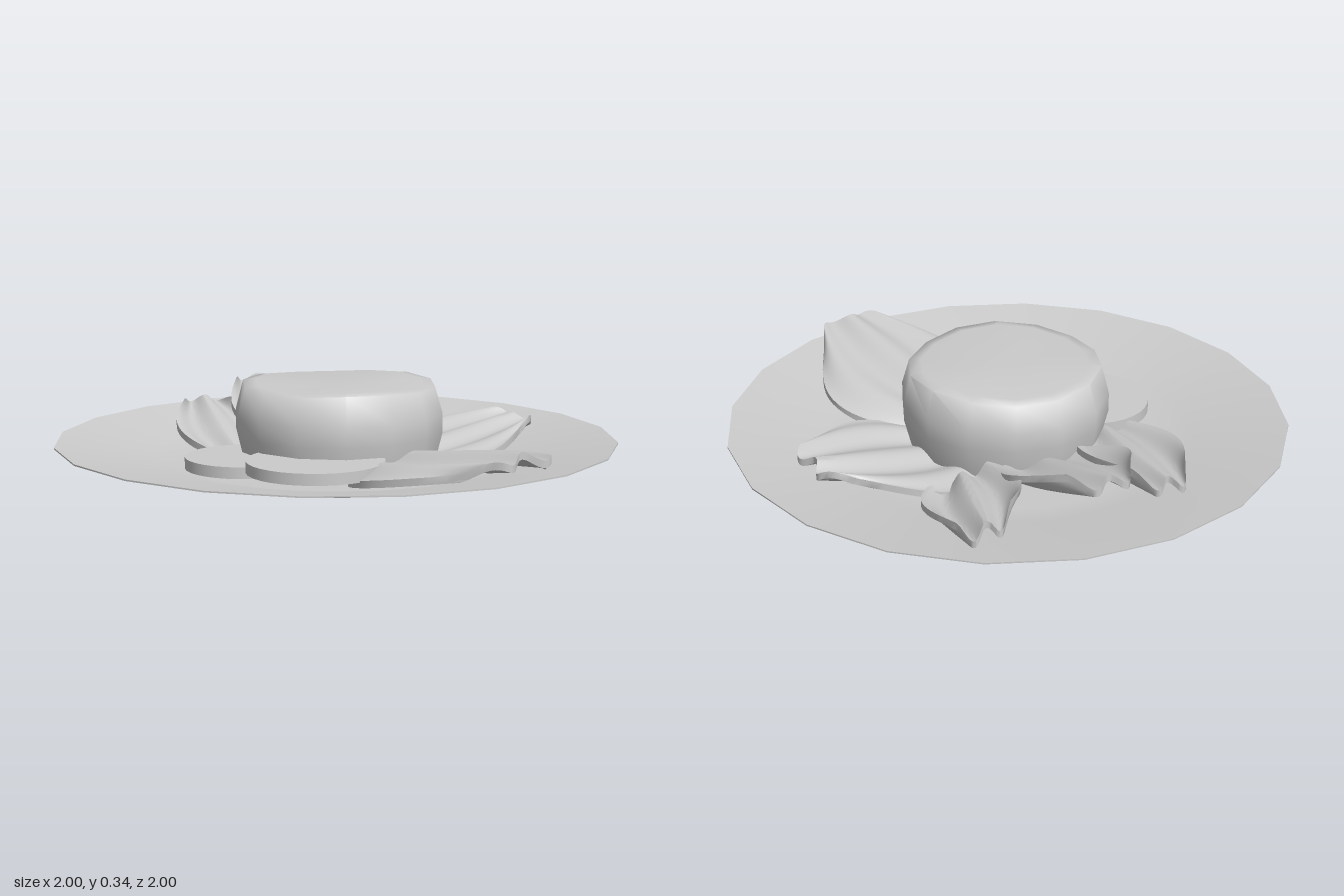
import * as THREE from 'three';
import { toCreasedNormals } from 'three/addons/utils/BufferGeometryUtils.js';

const material = new THREE.MeshStandardMaterial({ color: 0xcccccc, side: THREE.DoubleSide });

function add(parent, name, geometry) {
  const mesh = new THREE.Mesh(geometry, material);
  mesh.name = name;
  parent.add(mesh);
  return mesh;
}

function lathe(profile, sides) {
  return new THREE.LatheGeometry(profile.map(([r, y]) => new THREE.Vector2(r, y)), sides);
}

// Move every vertex of a geometry by a rule
function reshape(geometry, rule) {
  const pos = geometry.attributes.position, v = new THREE.Vector3();
  for (let i = 0; i < pos.count; i++) {
    rule(v.fromBufferAttribute(pos, i));
    pos.setXYZ(i, v.x, v.y, v.z);
  }
  return geometry;
}

// Petal-shaped ridged chip running from a root point to a tip point
function addChip(parent, { name, root, tip, width, tilt = 0, droop = 0, ridges, amp }) {
  const start = new THREE.Vector3(...root);
  const span = new THREE.Vector3(...tip).sub(start);
  const length = Math.hypot(span.x, span.z);
  const geometry = reshape(new THREE.BoxGeometry(1, 0.025, 1, 40, 1, 16), v => {
    const s = v.x * 2, t = v.z + 0.5;
    // narrow root, broad middle, blunt tip with a shallow notch
    const spread = width * (0.55 + 0.45 * Math.sin(Math.PI * Math.pow(t, 0.9)));
    const reach = length * (1 - 0.14 * s ** 4 - 0.03 * Math.cos(s * 7));
    v.x = s * spread;
    v.z = t * reach;
    v.y += t * span.y + tilt * s - droop * s * s + amp * Math.cos(s * Math.PI * ridges);
  });
  const chip = add(parent, name, toCreasedNormals(geometry, 0.8));
  chip.position.copy(start);
  chip.rotation.y = Math.atan2(span.x, span.z);
}

const chips = [
  { name: 'frontChip', root: [0.09, 0.09, 0.25], tip: [0.155, 0.19, 0.94], width: 0.33, droop: 0.045, ridges: 3, amp: 0.012 },
  { name: 'leftChip', root: [0.18, 0.025, 0.02], tip: [0.77, 0.14, 0.02], width: 0.31, ridges: 3, amp: 0.012 },
  { name: 'backLeftChip', root: [0.34, 0.085, -0.25], tip: [0.51, 0.16, -0.7], width: 0.165, tilt: 0.03, ridges: 2, amp: 0.02 },
  { name: 'backChip', root: [0.04, 0.07, -0.26], tip: [0.08, 0.235, -0.76], width: 0.22, ridges: 2, amp: 0.015 },
  { name: 'backRightChip', root: [-0.3, 0.06, -0.17], tip: [-0.15, 0.165, -0.77], width: 0.175, ridges: 2, amp: 0.015 },
];

export function createModel() {
  const model = new THREE.Group();
  model.name = 'plateOfFood';

  // Shallow plate: flat foot and a flared wall with a thin rim
  const plate = new THREE.Group();
  plate.name = 'plate';
  model.add(plate);
  add(plate, 'plateBase', lathe([[0, 0.02], [0.52, 0.02]], 20));
  add(plate, 'plateWall', lathe([[0.52, 0.02], [0.65, 0.06], [1, 0.125]], 20));
  add(plate, 'plateRim', lathe([[1, 0.125], [1, 0.13]], 20));
  add(plate, 'plateTop', lathe([[1, 0.13], [0.66, 0.072], [0.52, 0.04], [0, 0.035]], 20));

  // Thick round patty with an uneven top
  const profile = [[0, 0.03], [0.34, 0.03], [0.372, 0.16], [0.372, 0.23], [0.345, 0.328], [0.3, 0.335], [0, 0.318]];
  const patty = reshape(lathe(profile, 14), v => {
    const angle = Math.atan2(v.z, v.x), radius = Math.hypot(v.x, v.z);
    const swell = 1 + 0.012 * Math.sin(3 * angle + 1);
    if (v.y > 0.29) v.y += 0.02 * radius * Math.cos(3 * angle + 0.6);
    v.x *= swell;
    v.z *= swell;
  });
  add(model, 'patty', toCreasedNormals(patty, 1.2)).position.set(-0.005, 0, 0.025);

  // Round flat slices tucked under the patty
  const addSlice = (name, radius, x, y, z) =>
    add(model, name, new THREE.CylinderGeometry(radius, radius, 0.04, 32)).position.set(x, y, z);
  addSlice('rearSlice', 0.21, -0.37, 0.08, 0.01);
  addSlice('frontSlice', 0.237, -0.25, 0.102, 0.295);

  // Ridged chips around the patty
  chips.forEach(chip => addChip(model, chip));
  return model;
}
